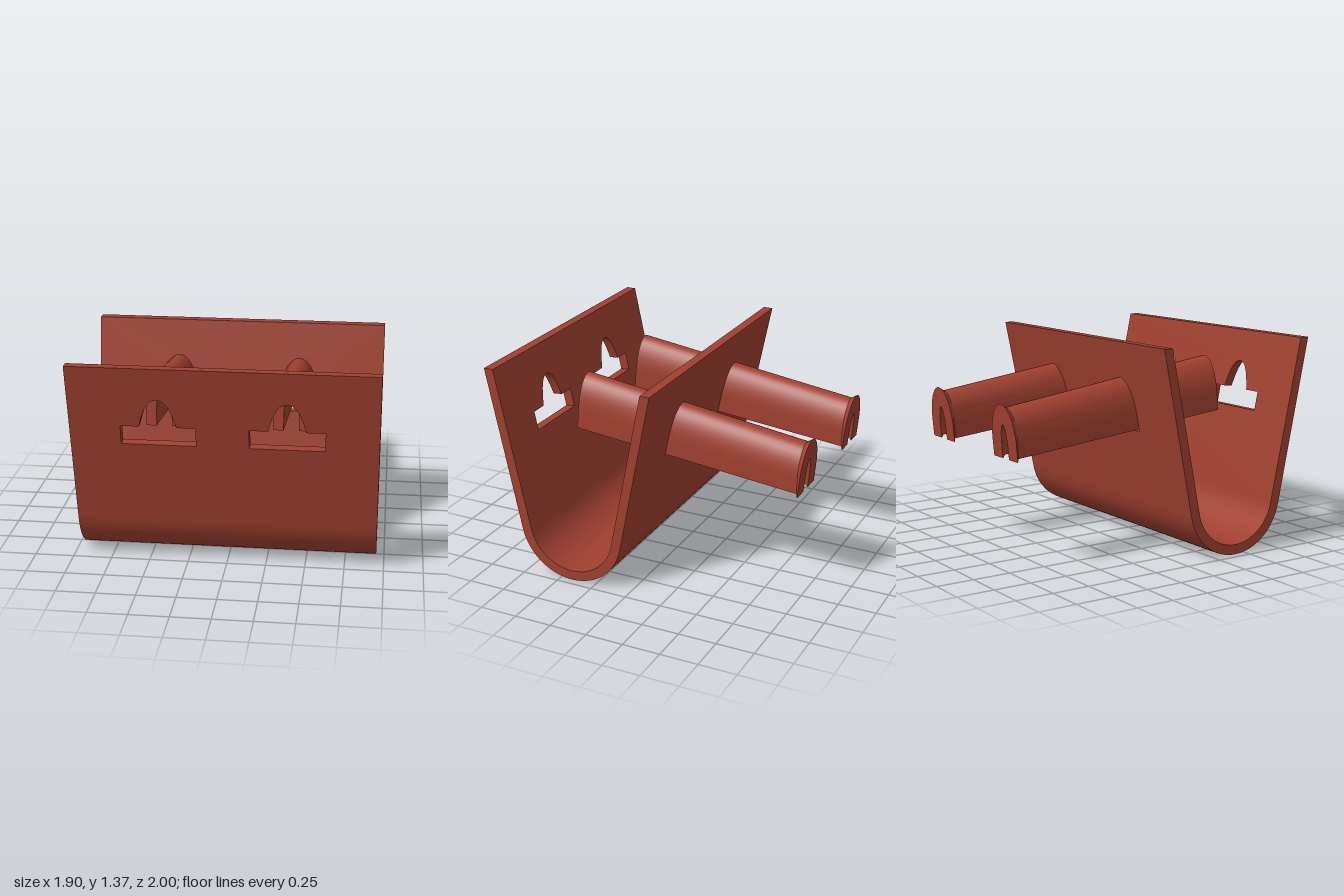
import * as THREE from 'three';
import { toCreasedNormals } from 'three/addons/utils/BufferGeometryUtils.js';

const WIDTH = 1.9, TOP = 1.37, MID = 0.4175; // trough width, rim height, z of trough centre
const R = 0.365, THICK = 0.065, SLOPE = 0.208; // bend radius, sheet thickness, wall lean
const LEAN = Math.atan(SLOPE);
const FOOT_Y = R * (1 - Math.sin(LEAN)), FOOT_Z = R * Math.cos(LEAN);

// Rounded bend at the bottom of the trough
function bendGeometry() {
  const s = new THREE.Shape();
  s.absarc(MID, R, R, Math.PI + LEAN, 2 * Math.PI - LEAN, false);
  s.absarc(MID, R, R - THICK, 2 * Math.PI - LEAN, Math.PI + LEAN, true);
  const g = new THREE.ExtrudeGeometry(s, { depth: WIDTH, bevelEnabled: false, curveSegments: 20 });
  g.rotateY(-Math.PI / 2).translate(WIDTH / 2, 0, 0);
  return toCreasedNormals(g, 0.6);
}

// Flat sheet with holes, leaned outward and moved to the end of the bend
function wallGeometry(holes) {
  const w = WIDTH / 2;
  const s = new THREE.Shape([[-w, FOOT_Y], [w, FOOT_Y], [w, TOP], [-w, TOP]].map(p => new THREE.Vector2(...p)));
  s.holes.push(...holes);
  const g = new THREE.ExtrudeGeometry(s, { depth: 1, bevelEnabled: false, curveSegments: 10 });
  const p = g.attributes.position;
  for (let i = 0; i < p.count; i++) {
    const y = p.getY(i), t = 1 - p.getZ(i);
    const lift = t * THICK * Math.sin(LEAN) * (TOP - y) / (TOP - FOOT_Y);
    p.setY(i, y + lift);
    p.setZ(i, FOOT_Z + (y - FOOT_Y) * SLOPE - t * THICK * Math.cos(LEAN));
  }
  return toCreasedNormals(g, 0.6);
}

// Keyhole: wide slot with a bell-shaped arch above it
function keyhole(x) {
  const h = new THREE.Path();
  h.moveTo(x - 0.232, 0.85);
  h.lineTo(x - 0.232, 0.975);
  h.lineTo(x - 0.115, 0.975);
  h.bezierCurveTo(x - 0.09, 1.08, x - 0.06, 1.16, x, 1.16);
  h.bezierCurveTo(x + 0.06, 1.16, x + 0.09, 1.08, x + 0.115, 0.975);
  h.lineTo(x + 0.232, 0.975);
  h.lineTo(x + 0.232, 0.85);
  h.closePath();
  return h;
}

// Arch points from right foot over the top to left foot
function arch(w, h, steps = 18) {
  const leg = h * 0.32, pts = [new THREE.Vector2(w, 0)];
  for (let i = 0; i <= steps; i++) {
    const a = Math.PI * i / steps;
    pts.push(new THREE.Vector2(w * Math.cos(a), leg + (h - leg) * Math.sin(a)));
  }
  pts.push(new THREE.Vector2(-w, 0));
  return pts;
}

// Hollow arched channel, lofted through tilted sections from front to back
function channelGeometry() {
  const sections = [ // foot [y, z], crown [y, z], outer half width, slot half width, slot height
    { foot: [0.868, 0.60], crown: [1.226, 0.572], w: 0.115, sw: 0.048, sh: 0.285 },
    { foot: [0.715, -0.95], crown: [1.015, -0.96], w: 0.125, sw: 0.036, sh: 0.2 },
    { foot: [0.695, -0.963], crown: [1.04, -0.997], w: 0.144, sw: 0.036, sh: 0.215 },
  ];
  const pos = [], idx = [];
  let m = 0;
  for (const { foot, crown, w, sw, sh } of sections) {
    const h = crown[0] - foot[0];
    const ring = [...arch(w, h), ...arch(sw, sh).reverse()];
    m = ring.length;
    for (const q of ring) pos.push(q.x, foot[0] + q.y, foot[1] + (crown[1] - foot[1]) * q.y / h);
  }
  for (let s = 0; s < sections.length - 1; s++)
    for (let i = 0; i < m; i++) {
      const a = s * m + i, b = s * m + (i + 1) % m;
      idx.push(a, a + m, b, b, a + m, b + m);
    }
  const last = (sections.length - 1) * m;
  for (let i = 0; i < m / 2 - 1; i++) {
    const j = m - 1 - i;
    idx.push(i, i + 1, j, i + 1, j - 1, j);
    idx.push(last + i, last + j, last + i + 1, last + i + 1, last + j, last + j - 1);
  }
  const g = new THREE.BufferGeometry();
  g.setAttribute('position', new THREE.Float32BufferAttribute(pos, 3));
  g.setIndex(idx);
  return toCreasedNormals(g, 0.6);
}

export function createModel() {
  const group = new THREE.Group();
  const clay = new THREE.MeshStandardMaterial({ color: 0xa04030 });
  clay.name = 'brickRed';
  const add = (name, geometry) => {
    const mesh = new THREE.Mesh(geometry, clay);
    mesh.name = name;
    group.add(mesh);
    return mesh;
  };

  const channelX = [-0.413, 0.392];

  // Trough
  add('troughBend', bendGeometry());
  add('frontWall', wallGeometry([-0.4, 0.391].map(keyhole))).position.z = MID;

  // Back wall faces the other way, with an opening behind each channel
  const openings = channelX.map(x =>
    new THREE.Path(arch(0.117, 0.34).map(q => new THREE.Vector2(q.x - x, q.y + 0.787))));
  const back = add('backWall', wallGeometry(openings));
  back.rotation.y = Math.PI;
  back.position.z = MID;

  // Sloping channels through the back wall
  const channel = channelGeometry();
  channelX.forEach((x, i) => {
    add(i ? 'leftChannel' : 'rightChannel', channel).position.x = x;
  });
  return group;
}
